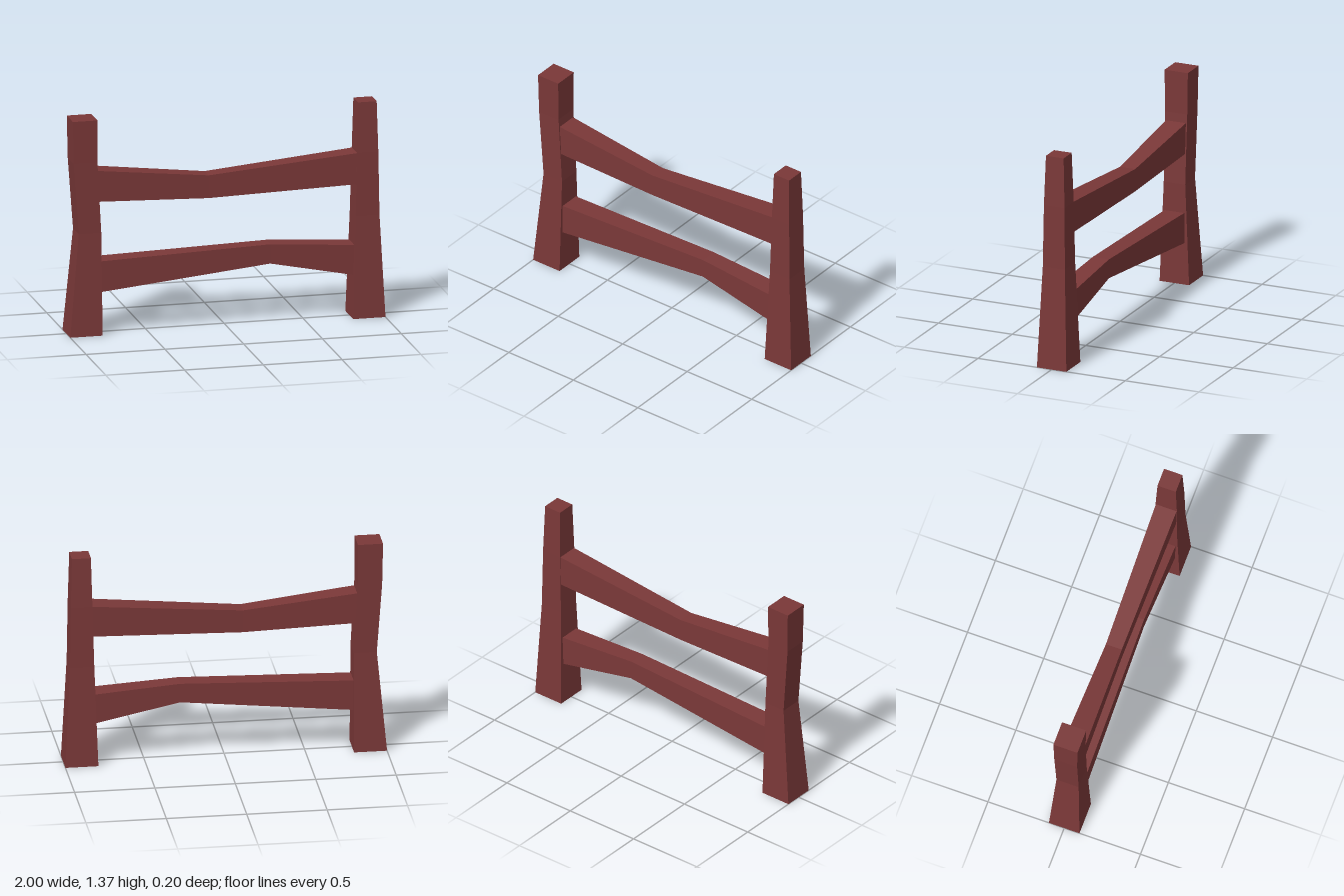
import * as THREE from 'three';

const wood = new THREE.MeshStandardMaterial({ color: 0x7a3838, flatShading: true });

// Box reshaped along x or y. Each section: [position, low, high, half depth]
function beam(name, axis, sections) {
  const n = sections.length - 1;
  const upright = axis === 'y';
  const geo = upright
    ? new THREE.BoxGeometry(1, 1, 1, 1, n, 1)
    : new THREE.BoxGeometry(1, 1, 1, n, 1, 1);
  const p = geo.attributes.position;
  for (let i = 0; i < p.count; i++) {
    const along = upright ? p.getY(i) : p.getX(i);
    const across = upright ? p.getX(i) : p.getY(i);
    const [at, low, high, depth] = sections[Math.round((along + 0.5) * n)];
    const side = across < 0 ? low : high;
    p.setXYZ(i, upright ? side : at, upright ? at : side, Math.sign(p.getZ(i)) * depth);
  }
  geo.computeVertexNormals();
  const mesh = new THREE.Mesh(geo, wood);
  mesh.name = name;
  return mesh;
}

export function createModel() {
  const fence = new THREE.Group();
  fence.name = 'fence';
  fence.add(
    // Crooked thick post and slim tapering post
    beam('rightPost', 'y', [
      [0, -1, -0.795, 0.1],
      [0.65, -0.94, -0.797, 0.073],
      [1.1, -0.973, -0.822, 0.075],
      [1.37, -0.978, -0.822, 0.079],
    ]),
    beam('leftPost', 'y', [
      [0, 0.795, 1, 0.1],
      [0.65, 0.817, 0.968, 0.075],
      [1.05, 0.828, 0.962, 0.07],
      [1.37, 0.836, 0.954, 0.06],
    ]),
    // Rails, each kinked and thinned at one point
    beam('upperRail', 'x', [
      [-0.82, 0.847, 1.044, 0.067],
      [-0.11, 0.82, 0.965, 0.052],
      [0.84, 0.851, 1.05, 0.068],
    ]),
    beam('lowerRail', 'x', [
      [-0.81, 0.268, 0.465, 0.067],
      [0.28, 0.377, 0.5, 0.055],
      [0.82, 0.27, 0.463, 0.067],
    ])
  );
  return fence;
}
